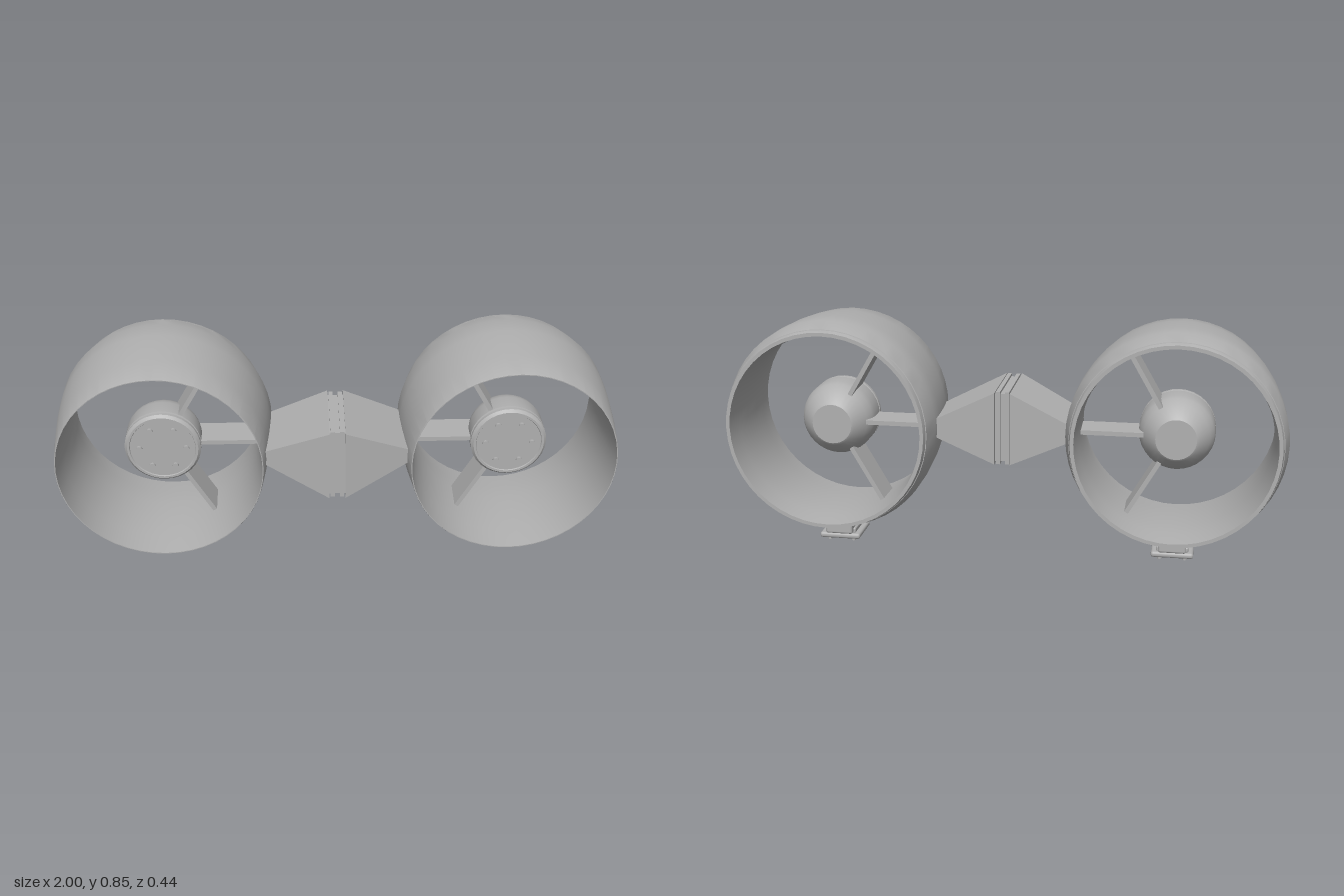
import * as THREE from 'three';
import { toCreasedNormals } from 'three/addons/utils/BufferGeometryUtils.js';
import { RoundedBoxGeometry } from 'three/addons/geometries/RoundedBoxGeometry.js';

const CX = 0.615, CY = 0.47; // duct axis
const metal = new THREE.MeshStandardMaterial({ color: 0xb0b0b0 });
metal.name = 'plain grey metal';

function add(parent, name, geo, x = 0, y = 0, z = 0) {
  const mesh = new THREE.Mesh(geo, metal);
  mesh.name = name;
  mesh.position.set(x, y, z);
  parent.add(mesh);
  return mesh;
}

// Profile of [radius, z] pairs turned around the z axis
function turned(profile, sides, crease = 0.35) {
  const geo = new THREE.LatheGeometry(profile.map(p => new THREE.Vector2(...p)), sides);
  return toCreasedNormals(geo.rotateX(Math.PI / 2), crease);
}

function makeDuct() {
  return turned([
    [0.346, -0.22], [0.359, -0.22], [0.364, -0.201], [0.361, -0.2], [0.361, -0.198], [0.366, -0.197],
    [0.384, -0.13], [0.384, -0.05], [0.38, 0.03], [0.373, 0.11], [0.36, 0.218], [0.359, 0.22],
    [0.356, 0.22], [0.346, 0.13], [0.339, 0.04], [0.336, -0.06], [0.338, -0.14], [0.346, -0.22],
  ], 48);
}

function makeHub() {
  return turned([
    [0, -0.115], [0.072, -0.115], [0.08, -0.11], [0.116, -0.065], [0.13, -0.038], [0.135, -0.015],
    [0.135, 0.048], [0.129, 0.05], [0.129, 0.056], [0.135, 0.058],
    [0.135, 0.07], [0.126, 0.08], [0.118, 0.08], [0.116, 0.076], [0, 0.076],
  ], 32, 0.5);
}

// Box whose outer end shrinks towards the duct
function makeTaperedArm(side) {
  const geo = new THREE.BoxGeometry(2, 2, 2);
  const p = geo.attributes.position;
  for (let i = 0; i < p.count; i++) {
    const outer = p.getX(i) * side > 0;
    const front = p.getZ(i) > 0;
    p.setXYZ(i,
      side * (outer ? 0.268 : 0.028),
      CY + Math.sign(p.getY(i)) * (outer ? 0.019 : 0.132),
      front ? (outer ? 0.148 : 0.215) : (outer ? -0.107 : -0.085));
  }
  geo.computeVertexNormals();
  return geo;
}

function makeFoot() {
  const foot = new THREE.Group();
  foot.name = 'mountingFoot';
  add(foot, 'footBlock', new RoundedBoxGeometry(0.1, 0.085, 0.168, 2, 0.008), 0, 0.0775, 0.001);
  add(foot, 'footCollar', new RoundedBoxGeometry(0.116, 0.02, 0.122, 2, 0.006), 0, 0.042, 0);
  add(foot, 'footPlate', new RoundedBoxGeometry(0.152, 0.021, 0.154, 2, 0.009), 0, 0.0235, 0.002);
  for (const x of [-0.045, 0.045]) for (const z of [-0.045, 0.047]) {
    add(foot, 'footBolt', new THREE.CylinderGeometry(0.008, 0.008, 0.016, 12), x, 0.008, z);
  }
  return foot;
}

function makeFan(side) {
  const fan = new THREE.Group();
  fan.name = side > 0 ? 'leftFan' : 'rightFan';
  fan.position.set(side * CX, CY, 0);
  add(fan, 'duct', makeDuct());
  add(fan, 'hub', makeHub());

  // Hub face bolts
  for (let i = 0; i < 6; i++) {
    const a = i * Math.PI / 3;
    const bolt = new THREE.CylinderGeometry(0.011, 0.011, 0.01, 12).rotateX(Math.PI / 2);
    add(fan, 'hubBolt', bolt, 0.083 * Math.cos(a), 0.083 * Math.sin(a), 0.08);
  }
  // Three flat struts on the side facing the middle
  for (const turn of [-1, 0, 1]) {
    const a = (side > 0 ? Math.PI : 0) + turn * Math.PI / 3;
    const strut = add(fan, 'strut', new THREE.BoxGeometry(0.23, 0.016, 0.12),
      0.23 * Math.cos(a), 0.23 * Math.sin(a), -0.015);
    strut.rotation.z = a;
  }
  const foot = makeFoot();
  foot.position.y = -CY;
  fan.add(foot);
  return fan;
}

export function createModel() {
  const model = new THREE.Group();
  model.name = 'twinDuctedFan';
  for (const side of [1, -1]) {
    model.add(makeFan(side));
    // Connecting arm with its end flange
    add(model, 'taperedArm', makeTaperedArm(side));
    add(model, 'armNeck', new THREE.BoxGeometry(0.01, 0.25, 0.26), side * 0.025, CY, 0.065);
    add(model, 'armFlange', new THREE.BoxGeometry(0.015, 0.268, 0.275), side * 0.0165, CY, 0.065);
  }
  add(model, 'centreCore', new THREE.BoxGeometry(0.02, 0.25, 0.255), 0, CY, 0.065);
  return model;
}
